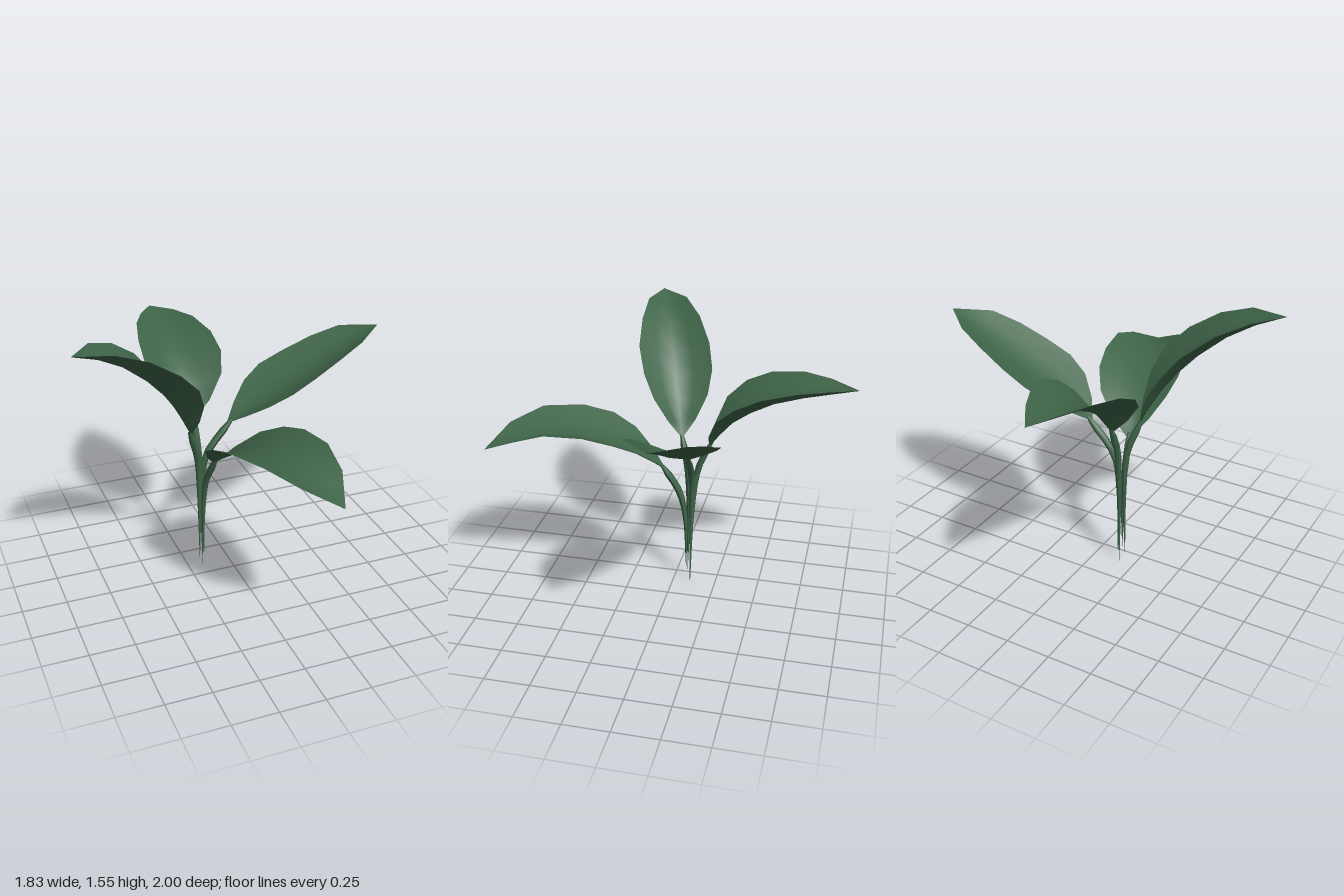
import * as THREE from 'three';
import { mergeVertices } from 'three/addons/utils/BufferGeometryUtils.js';

const green = new THREE.MeshStandardMaterial({ color: 0x3f6549, side: THREE.DoubleSide });
const UP = new THREE.Vector3(0, 1, 0);
const STATIONS = [0, 0.1, 0.22, 0.35, 0.5, 0.68, 0.84, 1];
const curveOf = (points) => new THREE.CatmullRomCurve3(points.map((p) => new THREE.Vector3(...p)));

// Cupped blade: cross-sections swept along the midrib, pointed at both ends.
// widths are half widths at the inner stations; cup is edge rise per half width.
function blade(rib, widths, cup) {
  const curve = curveOf(rib);
  const pos = [], index = [];
  STATIONS.forEach((t, i) => {
    const w = widths[i - 1] ?? 0;
    const centre = curve.getPointAt(t);
    const along = curve.getTangentAt(t);
    const side = along.clone().cross(UP).normalize();
    const normal = side.clone().cross(along);
    for (let j = 0; j < 5; j++) {
      const u = j / 2 - 1;
      const p = centre.clone().addScaledVector(side, u * w);
      p.addScaledVector(normal, cup * w * Math.abs(u) ** 1.3);
      pos.push(p.x, p.y, p.z);
      if (i > 0 && j > 0) {
        const d = i * 5 + j, c = d - 1, b = d - 5, a = d - 6;
        if (i > 1) index.push(a, b, c);
        if (i < STATIONS.length - 1) index.push(b, d, c);
        else index.push(a, b, c).valueOf;
      }
    }
  });
  const last = (STATIONS.length - 1) * 5;
  const g = new THREE.BufferGeometry();
  g.setAttribute('position', new THREE.Float32BufferAttribute(pos, 3));
  g.setIndex(index.filter((k) => k < last + 5));
  const merged = mergeVertices(g, 1e-5);
  merged.computeVertexNormals();
  return merged;
}

// Stalk: a thin tube that tapers to a point at the ground
function stalk(points) {
  const curve = curveOf(points);
  const seg = 12, sides = 6;
  const g = new THREE.TubeGeometry(curve, seg, 0.02, sides);
  const p = g.attributes.position, v = new THREE.Vector3();
  for (let i = 0; i <= seg; i++) {
    const c = curve.getPointAt(i / seg);
    const s = i === seg ? 0.5 : Math.min(1, 0.06 + 1.3 * i / seg);
    for (let j = 0; j <= sides; j++) {
      const k = i * (sides + 1) + j;
      v.fromBufferAttribute(p, k).sub(c).multiplyScalar(s).add(c);
      p.setXYZ(k, v.x, v.y, v.z);
    }
  }
  g.computeVertexNormals();
  return g;
}

function makeLeaf(name, rib, widths, cup, stem) {
  const group = new THREE.Group();
  group.name = name;
  const bladeMesh = new THREE.Mesh(blade(rib, widths, cup), green);
  bladeMesh.name = name + 'Blade';
  const stemMesh = new THREE.Mesh(stalk(stem), green);
  stemMesh.name = name + 'Stem';
  group.add(bladeMesh, stemMesh);
  return group;
}

export function createModel() {
  const model = new THREE.Group();
  model.name = 'plant';

  model.add(makeLeaf('backLeaf',
    [[-0.165, 0.89, -0.2], [-0.165, 1.05, -0.33], [-0.165, 1.19, -0.57], [-0.165, 1.25, -0.79], [-0.165, 1.3, -1]],
    [0.1, 0.19, 0.225, 0.215, 0.17, 0.1], 0.52,
    [[-0.16, 0, -0.1], [-0.16, 0.5, -0.11], [-0.165, 0.75, -0.14], [-0.165, 0.92, -0.215]]));

  model.add(makeLeaf('leftLeaf',
    [[0, 0.88, -0.12], [0.19, 0.975, -0.11], [0.44, 1.1, -0.11], [0.7, 1.24, -0.11], [0.91, 1.345, -0.11]],
    [0.105, 0.195, 0.235, 0.225, 0.195, 0.145], 0.33,
    [[-0.15, 0.08, -0.1], [-0.155, 0.5, -0.105], [-0.13, 0.7, -0.11], [0.03, 0.9, -0.12]]));

  model.add(makeLeaf('rightLeaf',
    [[-0.24, 0.89, -0.03], [-0.33, 1.07, 0.01], [-0.47, 1.26, 0.07], [-0.7, 1.455, 0.15], [-0.92, 1.55, 0.23]],
    [0.08, 0.155, 0.195, 0.2, 0.165, 0.11], 0.5,
    [[-0.185, 0.06, -0.08], [-0.18, 0.5, -0.085], [-0.19, 0.72, -0.075], [-0.25, 0.91, -0.025]]));

  model.add(makeLeaf('frontLeaf',
    [[-0.135, 0.73, 0.035], [-0.07, 0.87, 0.22], [0, 0.965, 0.48], [0.065, 0.985, 0.7], [0.18, 0.905, 1]],
    [0.1, 0.185, 0.23, 0.235, 0.21, 0.14], 0.36,
    [[-0.165, 0.09, -0.075], [-0.16, 0.45, -0.065], [-0.155, 0.6, -0.03], [-0.13, 0.76, 0.06]]));

  return model;
}
